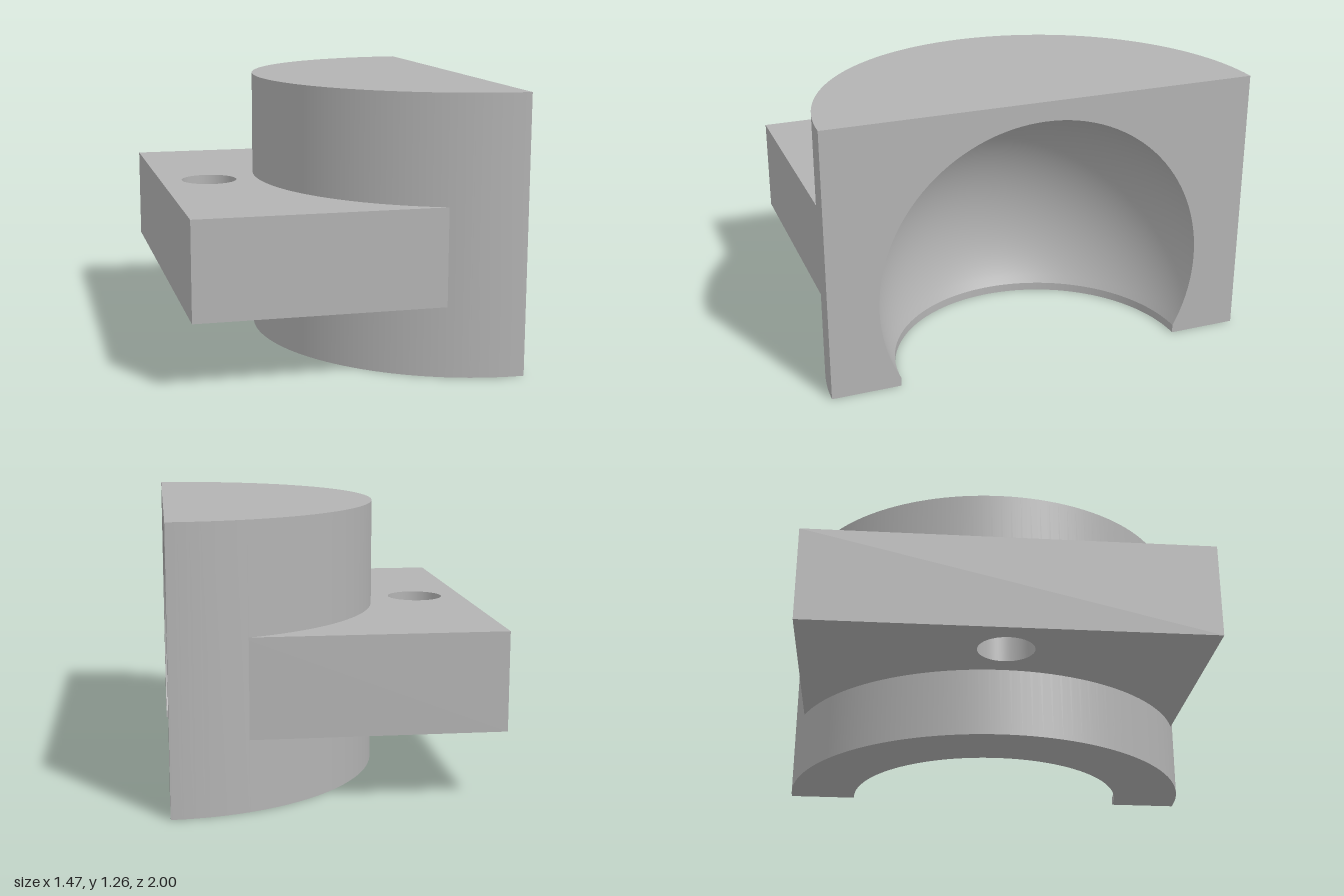
import * as THREE from 'three';
import { toCreasedNormals } from 'three/addons/utils/BufferGeometryUtils.js';

const CUT_X = 0.733;              // flat cut plane, also the axis of the half cylinder
const R = 1, H = 1.26;            // half cylinder
const BALL_R = 0.77, BALL_Y = 0.4; // spherical socket
const LIP_R = 0.68, LIP_Y = 0.038; // short straight lip at the socket mouth

export function createModel() {
  const group = new THREE.Group();
  const grey = new THREE.MeshStandardMaterial({ color: 0xb3b3b3 });
  grey.name = 'grey';

  const add = (name, geometry, parent = group) => {
    const mesh = new THREE.Mesh(geometry, grey);
    mesh.name = name;
    parent.add(mesh);
    return mesh;
  };

  // Half-cylinder housing, made of half-turn surfaces around the cut axis
  const housing = new THREE.Group();
  housing.name = 'housing';
  housing.position.x = CUT_X;
  group.add(housing);
  const halfTurn = (name, points) => add(name, new THREE.LatheGeometry(
    points.map(([x, y]) => new THREE.Vector2(x, y)), 64, Math.PI, Math.PI), housing);

  // Socket arc from its top down to the lip
  const endAngle = Math.PI / 2 + Math.acos(LIP_R / BALL_R);
  const arc = [];
  for (let i = 0; i <= 40; i++) {
    const a = endAngle * i / 40;
    arc.push([BALL_R * Math.sin(a), BALL_Y + BALL_R * Math.cos(a)]);
  }
  const lipTop = arc[arc.length - 1];

  halfTurn('socket', arc);
  halfTurn('socketLip', [lipTop, [LIP_R, 0]]);
  halfTurn('housingBottom', [[LIP_R, 0], [R, 0]]);
  halfTurn('housingWall', [[R, 0], [R, H]]);
  halfTurn('housingTop', [[R, H], [0, H]]);

  // Flat cut face with the socket outline removed
  const face = new THREE.Shape();
  face.moveTo(-R, 0);
  face.lineTo(-LIP_R, 0);
  for (let i = arc.length - 1; i >= 0; i--) face.lineTo(-arc[i][0], arc[i][1]);
  for (let i = 1; i < arc.length; i++) face.lineTo(arc[i][0], arc[i][1]);
  face.lineTo(LIP_R, 0);
  face.lineTo(R, 0);
  face.lineTo(R, H);
  face.lineTo(-R, H);
  face.closePath();
  add('cutFace', new THREE.ShapeGeometry(face).rotateY(Math.PI / 2), housing);

  // Mounting flange, its inner edge curved to stay inside the housing wall
  const halfZ = 0.94, seat = 0.99;
  const a = Math.asin(halfZ / seat);
  const plate = new THREE.Shape();
  plate.moveTo(-CUT_X, halfZ);
  plate.lineTo(-CUT_X, -halfZ);
  plate.lineTo(CUT_X - seat * Math.cos(a), -halfZ);
  plate.absarc(CUT_X, 0, seat, Math.PI + a, Math.PI - a, true);
  plate.closePath();
  const hole = new THREE.Path();
  hole.absarc(-0.5, 0, 0.132, 0, Math.PI * 2, true);
  plate.holes.push(hole);
  const flange = new THREE.ExtrudeGeometry(plate, { depth: 0.445, bevelEnabled: false, curveSegments: 32 });
  flange.rotateX(-Math.PI / 2).translate(0, 0.32, 0);
  add('flange', toCreasedNormals(flange, 0.5));

  return group;
}
